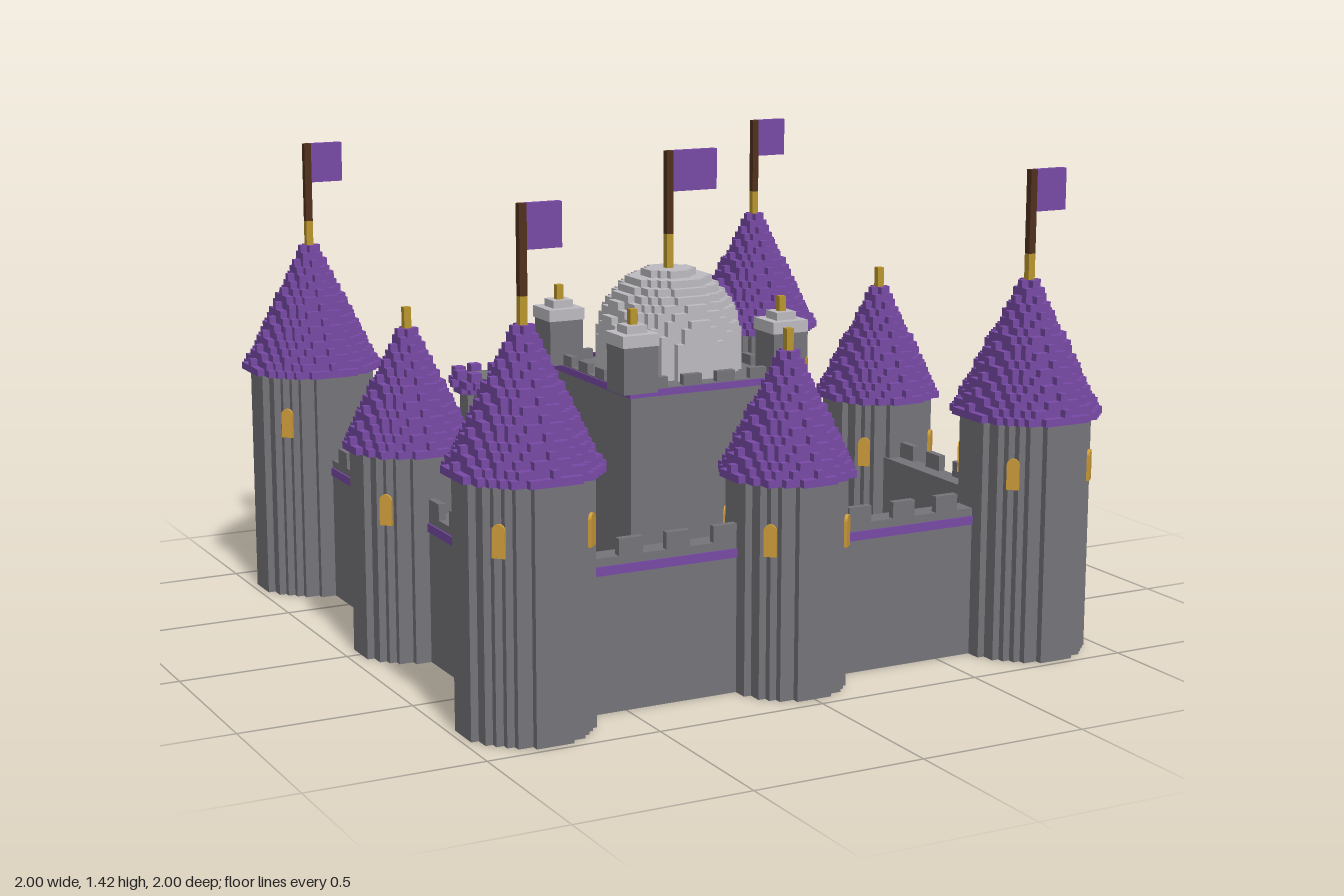
import * as THREE from 'three';
import { mergeGeometries } from 'three/addons/utils/BufferGeometryUtils.js';

const V = 2 / 93; // size of one block

const paint = (name, color) => {
  const m = new THREE.MeshStandardMaterial({ color });
  m.name = name;
  return m;
};

export function createModel() {
  const stone = paint('stone', 0x75747a);
  const paleStone = paint('pale stone', 0xbebbc1);
  const purple = paint('purple', 0x7849a6);
  const grass = paint('grass', 0x5b8e4b);
  const gravel = paint('gravel', 0x9a9184);
  const wood = paint('wood', 0x50301c);
  const gold = paint('gold', 0xb8962e);
  const glow = paint('window glow', 0xd09d3a);

  const castle = new THREE.Group();
  castle.name = 'castle';

  const group = (name, x = 0, z = 0, parent = castle) => {
    const g = new THREE.Group();
    g.name = name;
    g.position.set(x, 0, z);
    parent.add(g);
    return g;
  };
  const add = (parent, name, geo, mat) => {
    const m = new THREE.Mesh(geo, mat);
    m.name = name;
    parent.add(m);
    return m;
  };
  // Box given by its ranges on each axis
  const boxGeo = (x0, x1, y0, y1, z0, z1) =>
    new THREE.BoxGeometry(x1 - x0, y1 - y0, z1 - z0)
      .translate((x0 + x1) / 2, (y0 + y1) / 2, (z0 + z1) / 2);
  const box = (parent, name, mat, ...range) => add(parent, name, boxGeo(...range), mat);

  // Round slab with a stepped, blocky outline; r is counted in blocks
  const discGeo = (r, y0, y1) => {
    const n = Math.floor(r), side = [];
    for (let z = -n, last = -1; z <= n; z++) {
      const w = Math.floor(Math.sqrt(r * r - z * z)) + 0.5;
      if (w !== last) {
        if (z > -n) side.push([last, z - 0.5]);
        side.push([w, z - 0.5]);
      }
      last = w;
      if (z === n) side.push([w, n + 0.5]);
    }
    const left = side.map(([x, z]) => [-x, z]).reverse();
    const shape = new THREE.Shape([...side, ...left].map(([x, z]) => new THREE.Vector2(x * V, z * V)));
    return new THREE.ExtrudeGeometry(shape, { depth: y1 - y0, bevelEnabled: false })
      .rotateX(-Math.PI / 2).translate(0, y0, 0);
  };
  const disc = (parent, name, mat, r, y0, y1) => add(parent, name, discGeo(r, y0, y1), mat);
  // Stack of one-block layers whose radius follows a rule
  const stack = (parent, name, mat, y, count, radius) => {
    const layers = [];
    for (let i = 0; i < count; i++) layers.push(discGeo(radius(i), y + i * V, y + (i + 1) * V));
    return add(parent, name, mergeGeometries(layers), mat);
  };

  // Arched plate standing on y = 0, facing +z
  const archGeo = (w, h, depth) => {
    const s = new THREE.Shape();
    s.moveTo(-w / 2, 0);
    s.lineTo(w / 2, 0);
    s.lineTo(w / 2, h - w / 2);
    s.absarc(0, h - w / 2, w / 2, 0, Math.PI, false);
    s.closePath();
    return new THREE.ExtrudeGeometry(s, { depth, bevelEnabled: false, curveSegments: 8 });
  };
  const pole = (parent, name, mat, y0, y1) => box(parent, name, mat, -V / 2, V / 2, y0, y1, -V / 2, V / 2);
  const flag = (parent, y0, tip, y1, len) => {
    pole(parent, 'finial', gold, y0, tip);
    pole(parent, 'flagPole', wood, tip, y1);
    box(parent, 'flag', purple, V / 2, V / 2 + len, y1 - 0.12, y1, -V / 2, V / 2);
  };

  // Round tower with stepped cone roof and four diagonal windows
  const tower = (name, x, z, r, h, winY, hasFlag) => {
    const t = group(name, x, z);
    disc(t, 'towerBody', stone, r - 0.05, 0, h);
    const layers = Math.round(2 * r) + 1;
    stack(t, 'towerRoof', purple, h, layers, i => r + 1 - i * 0.5);
    const top = h + layers * V;
    const reach = (r > 8 ? 8.5 : 7.8) * V;
    for (let i = 0; i < 4; i++) {
      const a = Math.PI / 4 + i * Math.PI / 2;
      const win = add(t, 'towerWindow', archGeo(0.036, 0.09, 0.009), glow);
      win.position.set(Math.sin(a) * reach, winY, Math.cos(a) * reach);
      win.rotation.y = a;
    }
    if (hasFlag) flag(t, top - V, 1.16, 1.4, 0.1);
    else pole(t, 'finial', gold, top - V, 1.01);
  };
  const C = 37 * V;
  for (const x of [-C, C]) {
    for (const z of [-C, C]) tower('cornerTower', x, z, 8.5, 0.698, 0.51, true);
    tower('sideTower', x, 0, 7.5, 0.605, 0.41, false);
  }
  tower('frontTower', 0, C, 7.5, 0.605, 0.41, false);

  // Curtain walls with merlons and a purple stripe
  const IN = 0.735, OUT = 0.803;
  const wall = (name, angle, flip) => {
    const w = group(name);
    w.rotation.y = angle;
    box(w, 'wallBody', stone, -OUT, OUT, 0, 0.435, IN, OUT);
    box(w, 'wallStripe', purple, -OUT, OUT, 0.387, 0.412, OUT, OUT + 0.005);
    const merlons = [];
    for (let i = 0; i < 10; i++) {
      const c = flip * (-0.631 + i * 0.1445);
      merlons.push(boxGeo(c - 0.036, c + 0.036, 0.435, 0.482, OUT - V, OUT));
    }
    add(w, 'merlons', mergeGeometries(merlons), stone);
  };
  wall('frontWall', 0, 1);
  wall('backWall', Math.PI, -1);
  wall('leftWall', Math.PI / 2, 1);
  wall('rightWall', -Math.PI / 2, -1);

  // Courtyard
  box(castle, 'lawn', grass, -IN, IN, 0.004, 0.02, -IN, IN);
  box(castle, 'path', gravel, -0.112, 0.112, 0.001, 0.026, -IN, -0.16);

  // Gate in the back wall
  const gate = group('gate', 0, 0);
  const gateDoor = add(gate, 'gateDoor', archGeo(0.21, 0.26, OUT - IN + 0.016), wood);
  gateDoor.position.z = -OUT - 0.008;
  box(gate, 'gateBeam', purple, -0.12, 0.12, 0.385, 0.412, -0.832, -OUT);
  for (const s of [-1, 1]) {
    const t = group('gateTurret', s * 0.194, -0.822, gate);
    disc(t, 'turretBody', stone, 3.5, 0, 0.56);
    disc(t, 'turretFlare', purple, 4.2, 0.56, 0.582);
    disc(t, 'turretRim', purple, 5, 0.582, 0.606);
    disc(t, 'turretFloor', stone, 3.6, 0.606, 0.612);
    for (let i = 0; i < 8; i++) {
      const a = i * Math.PI / 4;
      const mx = Math.round(Math.sin(a) * 4.3) * V, mz = Math.round(Math.cos(a) * 4.3) * V;
      box(t, 'turretMerlon', purple, mx - 0.018, mx + 0.018, 0.606, 0.635, mz - 0.018, mz + 0.018);
    }
    // Hanging banner beside the turret
    const b = group('banner', s * 0.342, -0.82, gate);
    box(b, 'bannerCloth', purple, -0.058, 0.058, 0.19, 0.4, -0.01, 0.01);
    box(b, 'bannerRod', wood, -0.06, 0.06, 0.4, 0.412, -0.01, 0.016);
    for (const x of [-0.035, 0.035]) box(b, 'bannerTassel', gold, x - 0.01, x + 0.01, 0.168, 0.19, -0.01, 0.01);
  }

  // Keep
  const keep = group('keep', 0, 0.094);
  const K = 0.255;
  box(keep, 'keepBody', stone, -K, K, 0, 0.778, -K, K);
  box(keep, 'keepStripe', purple, -K - 0.004, K + 0.004, 0.755, 0.775, -K - 0.004, K + 0.004);
  for (let side = 0; side < 4; side++) {
    const p = group('keepParapet', 0, 0, keep);
    p.rotation.y = side * Math.PI / 2;
    for (let i = -1.5; i <= 1.5; i++)
      box(p, 'keepMerlon', stone, i * 0.11 - 0.03, i * 0.11 + 0.03, 0.778, 0.808, K - V, K);
  }
  const keepDoor = add(keep, 'keepDoor', archGeo(0.15, 0.25, 0.009), wood);
  keepDoor.position.z = -K - 0.008;
  for (const x of [-0.195, -0.065, 0.065, 0.195]) {
    const win = add(keep, 'keepWindow', archGeo(0.045, 0.1, 0.009), glow);
    win.position.set(x, 0.59, -K - 0.008);
  }

  // Stepped dome and its flag
  stack(keep, 'dome', paleStone, 0.778, 14, i => {
    const dy = Math.max(0, i - 4.2);
    return Math.sqrt(9.5 * 9.5 - dy * dy);
  });
  flag(keep, 1.07, 1.18, 1.425, 0.145);

  // Corner turrets of the keep
  for (const x of [-1, 1]) for (const z of [-1, 1]) {
    const t = group('keepTurret', x * 0.244, z * 0.243, keep);
    box(t, 'turretBody', stone, -0.054, 0.054, 0.775, 0.91, -0.054, 0.054);
    box(t, 'turretCap', paleStone, -0.058, 0.058, 0.91, 0.945, -0.058, 0.058);
    box(t, 'turretCapTop', paleStone, -0.032, 0.032, 0.945, 0.968, -0.032, 0.032);
    pole(t, 'finial', gold, 0.968, 1.012);
  }
  return castle;
}
